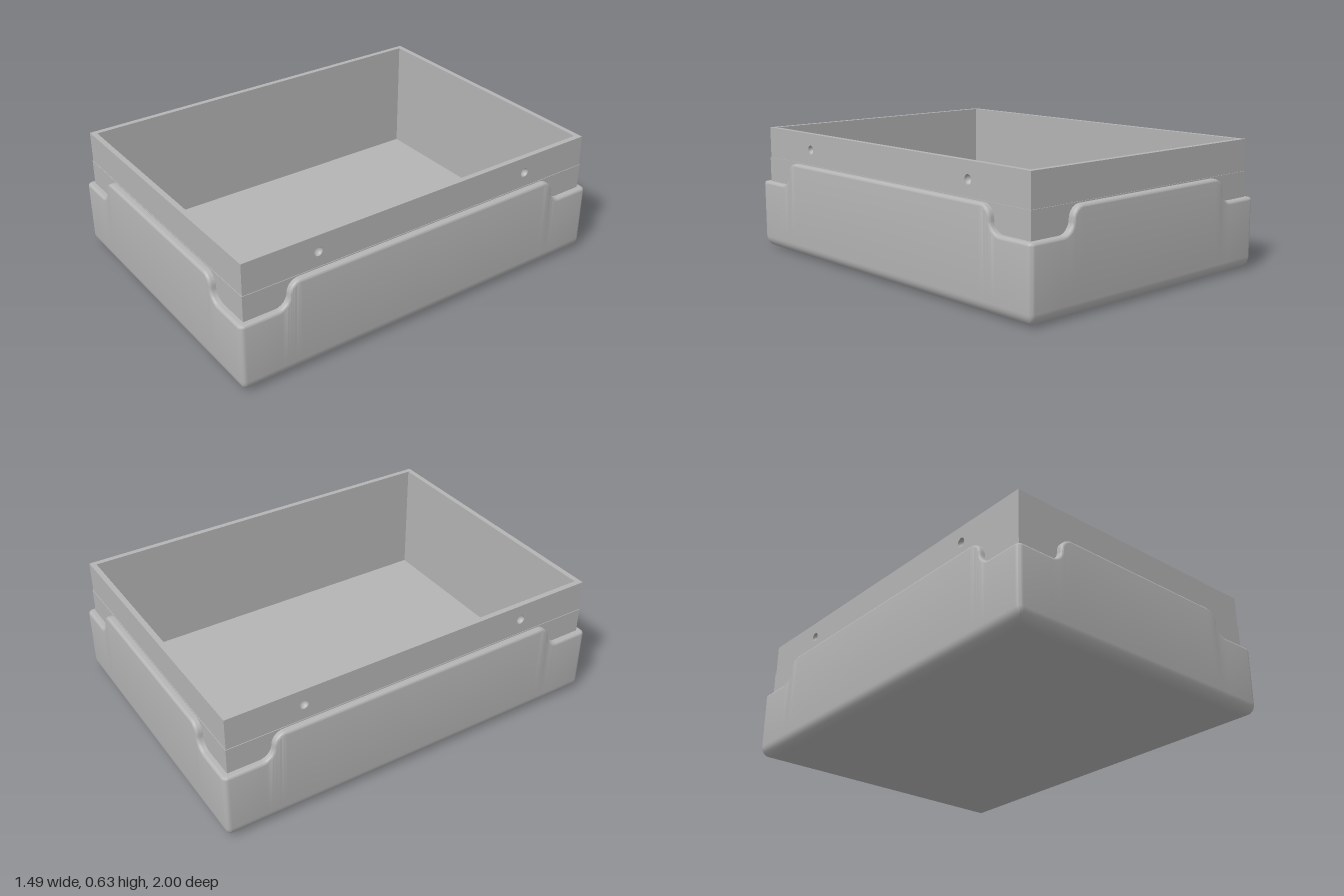
import * as THREE from 'three';
import { toCreasedNormals } from 'three/addons/utils/BufferGeometryUtils.js';

const W = 0.743, D = 1;             // outer half sizes of the case
const IW = 0.71, ID = 0.965;        // outer half sizes of the inner tray
const WALL = 0.027, TOP = 0.63, FLOOR = 0.046;
const LOW = 0.35, HIGH = 0.47, S = 0.06;  // rim heights and S-curve radius
const CORNER = 0.025, BOTTOM = 0.06, EDGE = 0.014; // rounding radii

const grey = new THREE.MeshStandardMaterial({ color: 0xb4b4b4, side: THREE.DoubleSide });
grey.name = 'grey';

function add(group, name, geometry, x = 0, y = 0, z = 0) {
  const mesh = new THREE.Mesh(geometry, grey);
  mesh.name = name;
  mesh.position.set(x, y, z);
  group.add(mesh);
  return mesh;
}

// Half of a side's rim: low end, concave arc, convex arc. Each entry is u, height and rim normal.
function rimHalf(length, step) {
  const pts = [{ u: length - CORNER, h: LOW, nu: 0, nh: 1 }];
  const mid = (LOW + HIGH) / 2, n = 10;
  for (let i = 0; i <= n; i++) {
    const b = (i / n) * Math.PI / 2, s = Math.sin(b), c = Math.cos(b);
    pts.push({ u: step + S - S * s, h: mid - S * c, nu: s, nh: c });
  }
  for (let i = 1; i <= n; i++) {
    const b = (i / n) * Math.PI / 2, s = Math.sin(b), c = Math.cos(b);
    pts.push({ u: step - S + S * c, h: mid + S * s, nu: c, nh: s });
  }
  return pts;
}

// Columns around the case; each gives a point for an inset and a drop below the rim.
function caseColumns() {
  const columns = [];
  for (let k = 0; k < 4; k++) {
    const a = k * Math.PI / 2;
    const n = new THREE.Vector3(Math.round(Math.sin(a)), 0, Math.round(Math.cos(a)));
    const t = new THREE.Vector3(n.z, 0, -n.x);
    const [length, dist, step] = k % 2 ? [D, W, 0.755] : [W, D, 0.5];
    const at = (u, y, v) => [t.x * u + n.x * v, y, t.z * u + n.z * v];
    const half = rimHalf(length, step);
    const side = [...half.map(p => ({ ...p, u: -p.u, nu: -p.nu })), ...half.slice().reverse()];
    for (const p of side) {
      columns.push((inset, drop, y) => {
        const limit = length - Math.max(CORNER, inset);
        const u = THREE.MathUtils.clamp(p.u - p.nu * drop, -limit, limit);
        return at(u, y ?? p.h - p.nh * drop, dist - inset);
      });
    }
    for (let i = 1; i < 6; i++) {
      const c = (i / 6) * Math.PI / 2;
      columns.push((inset, drop, y) => {
        const m = Math.max(CORNER, inset), r = m - inset;
        return at(length - m + r * Math.sin(c), y ?? LOW - drop, dist - m + r * Math.cos(c));
      });
    }
  }
  return columns;
}

// Outer case: rounded bottom, straight walls, rounded stepped rim
function caseGeometry() {
  const columns = caseColumns(), count = columns.length, rings = [];
  for (let i = 0; i <= 8; i++) {
    const a = (i / 8) * Math.PI / 2;
    rings.push([BOTTOM * (1 - Math.sin(a)), 0, BOTTOM * (1 - Math.cos(a))]);
  }
  for (let i = 0; i <= 5; i++) {
    const a = (i / 5) * Math.PI / 2;
    rings.push([EDGE * (1 - Math.cos(a)), EDGE * (1 - Math.sin(a)), undefined]);
  }
  rings.push([W - IW + 0.006, 0, undefined]);
  const positions = [0, 0, 0], index = [];
  for (const ring of rings) for (const column of columns) positions.push(...column(...ring));
  for (let i = 0; i < count; i++) {
    const next = (i + 1) % count;
    index.push(0, 1 + next, 1 + i);
    for (let j = 0; j < rings.length - 1; j++) {
      const a = 1 + j * count + i, b = 1 + j * count + next;
      index.push(a, b, b + count, a, b + count, a + count);
    }
  }
  const geometry = new THREE.BufferGeometry();
  geometry.setAttribute('position', new THREE.Float32BufferAttribute(positions, 3));
  geometry.setIndex(index);
  return toCreasedNormals(geometry, 0.6);
}

function rectangle(PathType, x, y) {
  return new PathType([[-x, -y], [x, -y], [x, y], [-x, y]].map(p => new THREE.Vector2(...p)));
}

export function createModel() {
  const model = new THREE.Group();
  model.name = 'stepped tray';
  add(model, 'outerCase', caseGeometry());

  // Inner tray floor and end walls
  const base = 0.1, height = TOP - base;
  add(model, 'floor', new THREE.BoxGeometry(IW * 2 - 0.02, 0.03, ID * 2 - 0.02), 0, FLOOR - 0.015, 0);
  for (const s of [-1, 1]) {
    add(model, s > 0 ? 'frontWall' : 'backWall',
      new THREE.BoxGeometry(IW * 2, TOP - 0.03, WALL), 0, (TOP + 0.03) / 2, s * (ID - WALL / 2));
  }

  // Side walls with two round dimples each
  const hole = 0.022, skin = 0.023, holeY = 0.55, holeZ = 0.59, inside = ID - WALL;
  for (const s of [-1, 1]) {
    const wall = new THREE.Group();
    wall.name = s > 0 ? 'leftWall' : 'rightWall';
    wall.rotation.y = s * Math.PI / 2;
    wall.position.x = s * (IW - skin);
    const shape = rectangle(THREE.Shape, ID, height / 2);
    for (const e of [-1, 1]) {
      const path = new THREE.Path();
      path.absarc(e * holeZ, holeY - base - height / 2, hole, 0, Math.PI * 2, true);
      shape.holes.push(path);
      const dimple = add(wall, 'dimple',
        new THREE.SphereGeometry(hole, 24, 8, 0, Math.PI * 2, Math.PI / 2, Math.PI / 2),
        e * holeZ, holeY, skin);
      dimple.rotation.x = Math.PI / 2;
    }
    add(wall, 'wallSkin',
      new THREE.ExtrudeGeometry(shape, { depth: skin, bevelEnabled: false, curveSegments: 24 }),
      0, base + height / 2, 0);
    const lining = WALL - skin;
    add(wall, 'wallLining', new THREE.BoxGeometry(inside * 2, TOP - 0.03, lining),
      0, (TOP + 0.03) / 2, -lining / 2);
    model.add(wall);
  }

  // Slightly wider band of the tray behind the rim
  const band = rectangle(THREE.Shape, IW + 0.003, ID + 0.003);
  band.holes.push(rectangle(THREE.Path, IW - 0.01, ID - 0.01));
  const bandMesh = add(model, 'trayBand',
    new THREE.ExtrudeGeometry(band, { depth: 0.145, bevelEnabled: false }), 0, 0.33, 0);
  bandMesh.rotation.x = -Math.PI / 2;
  return model;
}
